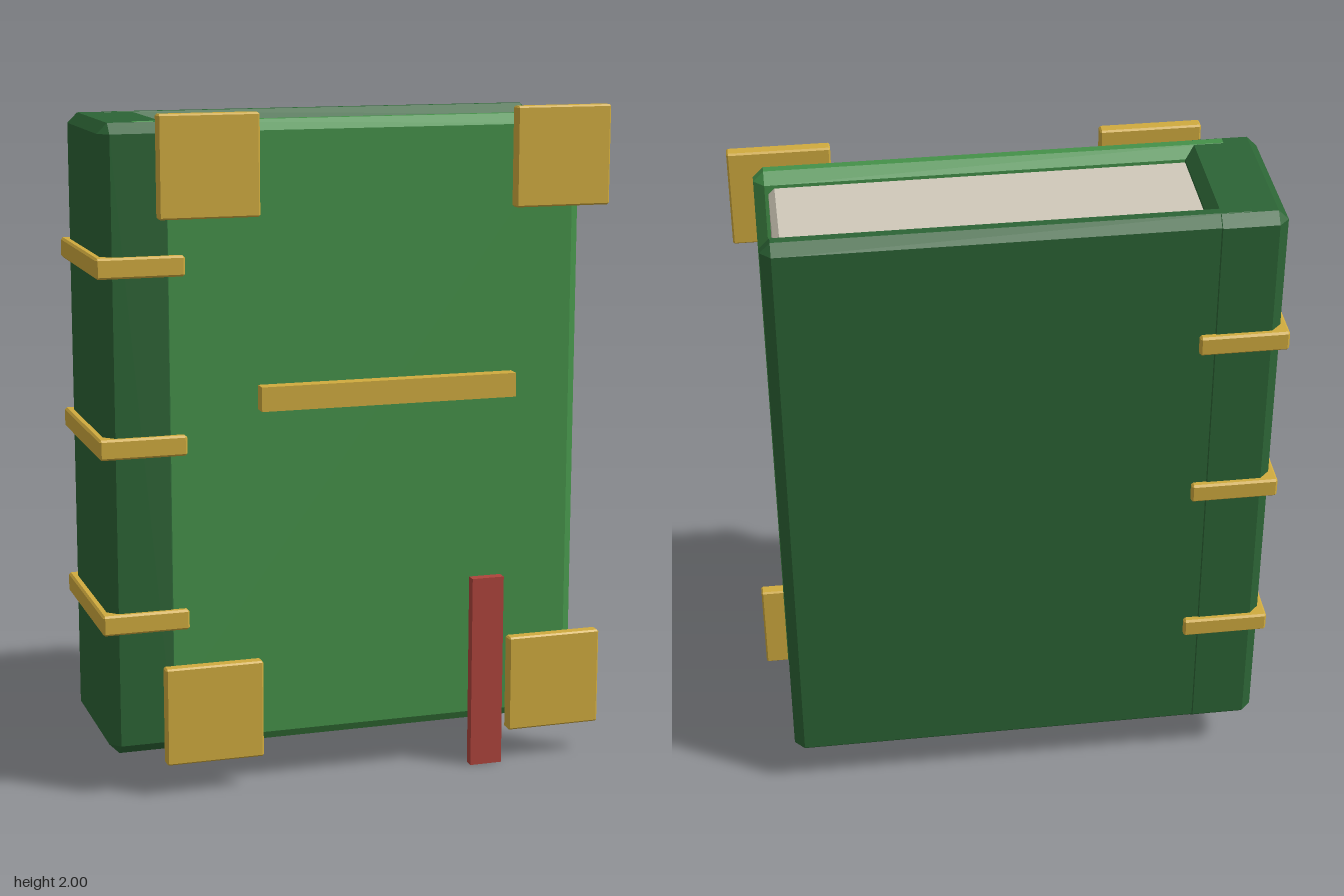
import * as THREE from 'three';
import { ConvexGeometry } from 'three/addons/geometries/ConvexGeometry.js';

const material = (name, color) => {
  const m = new THREE.MeshStandardMaterial({ color });
  m.name = name;
  return m;
};

// Box with every edge chamfered by c, built from its 24 corner points
function chamferBox(w, h, d, c) {
  const points = [];
  for (const sx of [-1, 1]) for (const sy of [-1, 1]) for (const sz of [-1, 1]) {
    for (let axis = 0; axis < 3; axis++) {
      const inset = [c, c, c];
      inset[axis] = 0;
      // one axis keeps its full extent, the other two are pulled in
      points.push(new THREE.Vector3(
        sx * (w / 2 - inset[0]), sy * (h / 2 - inset[1]), sz * (d / 2 - inset[2])));
    }
  }
  return new ConvexGeometry(points);
}

export function createModel() {
  const book = new THREE.Group();
  book.name = 'book';

  const coverGreen = material('cover green', 0x449149);
  const bindingGreen = material('binding green', 0x2c6435);
  const paper = material('paper', 0xd0c9b9);
  const gold = material('gold', 0xd0ab3e);
  const red = material('ribbon red', 0xae443c);

  // Places a box by its extents on each axis
  function block(name, mat, [x0, x1], [y0, y1], [z0, z1], chamfer = 0) {
    const size = [x1 - x0, y1 - y0, z1 - z0];
    const geometry = chamfer ? chamferBox(...size, chamfer) : new THREE.BoxGeometry(...size);
    const mesh = new THREE.Mesh(geometry, mat);
    mesh.name = name;
    mesh.position.set((x0 + x1) / 2, (y0 + y1) / 2, (z0 + z1) / 2);
    book.add(mesh);
  }

  // Covers, spine and page block
  block('frontCover', coverGreen, [-0.68, 0.7], [0.125, 1.975], [0.135, 0.22], 0.03);
  block('backCover', bindingGreen, [-0.68, 0.7], [0.125, 1.975], [-0.258, -0.173], 0.03);
  block('spine', bindingGreen, [-0.755, -0.535], [0.126, 1.974], [-0.261, 0.223], 0.03);
  block('pages', paper, [-0.6, 0.66], [0.165, 1.935], [-0.195, 0.157], 0.018);

  // Raised bands wrapping the spine
  for (const y of [0.53, 1.05, 1.57]) {
    block('spineBand', gold, [-0.775, -0.517], [y - 0.03, y + 0.03], [-0.278, 0.24], 0.006);
  }

  // Corner plates on the front cover
  for (const x of [[-0.598, -0.303], [0.475, 0.77]]) {
    for (const y of [[0.097, 0.392], [1.705, 2]]) {
      block('cornerPlate', gold, x, y, [0.23, 0.269], 0.005);
    }
  }

  // Title bar and ribbon bookmark
  block('titleBar', gold, [-0.305, 0.478], [1.143, 1.215], [0.234, 0.278]);
  block('ribbon', red, [0.35, 0.45], [0, 0.59], [0.244, 0.275]);

  return book;
}
